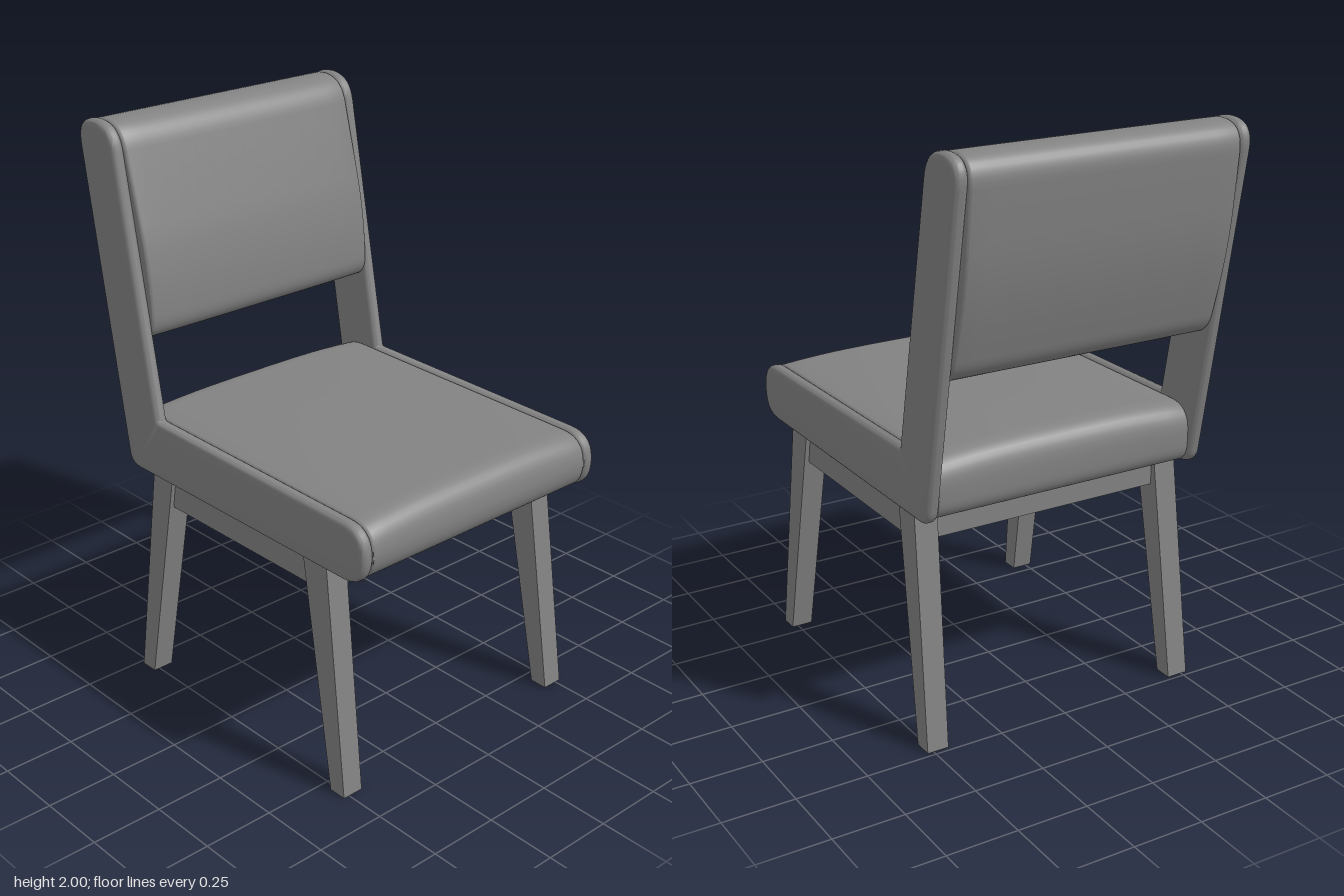
import * as THREE from 'three';
import { toCreasedNormals } from 'three/addons/utils/BufferGeometryUtils.js';

const material = new THREE.MeshStandardMaterial({ color: 0x828282 });

// Closed side profile from corners [z, y, cornerLength], each corner rounded
function roundedProfile(corners) {
  const shape = new THREE.Shape();
  const pts = corners.map(([z, y]) => new THREE.Vector2(z, y));
  corners.forEach(([, , r], i) => {
    const p = pts[i];
    const toward = (q) => q.clone().sub(p).setLength(r).add(p);
    const a = toward(pts[(i + pts.length - 1) % pts.length]);
    const b = toward(pts[(i + 1) % pts.length]);
    if (i === 0) shape.moveTo(a.x, a.y);
    else shape.lineTo(a.x, a.y);
    shape.quadraticCurveTo(p.x, p.y, b.x, b.y);
  });
  shape.closePath();
  return shape;
}

// Extrude a side profile across x, centred, with softened edges; bend moves vertices
function slab(corners, width, bevel, steps = 1, bend = null) {
  const geo = new THREE.ExtrudeGeometry(roundedProfile(corners), {
    depth: width - 2 * bevel, steps, curveSegments: 10,
    bevelThickness: bevel, bevelSize: bevel, bevelOffset: -bevel, bevelSegments: 4,
  });
  geo.translate(0, 0, bevel - width / 2).rotateY(-Math.PI / 2);
  if (bend) {
    const pos = geo.attributes.position;
    const v = new THREE.Vector3();
    for (let i = 0; i < pos.count; i++) {
      bend(v.fromBufferAttribute(pos, i));
      pos.setXYZ(i, v.x, v.y, v.z);
    }
  }
  return toCreasedNormals(geo, 0.65);
}

// Leg between a top and a bottom rectangle [x0, x1, z0, z1]
function taperedLeg(top, bottom, height) {
  const geo = new THREE.BoxGeometry(1, 1, 1).toNonIndexed();
  const pos = geo.attributes.position;
  for (let i = 0; i < pos.count; i++) {
    const up = pos.getY(i) > 0;
    const r = up ? top : bottom;
    pos.setXYZ(i, pos.getX(i) > 0 ? r[1] : r[0], up ? height : 0, pos.getZ(i) > 0 ? r[3] : r[2]);
  }
  geo.computeVertexNormals();
  return geo;
}

export function createModel() {
  const chair = new THREE.Group();
  chair.name = 'chair';
  const add = (name, geometry, x = 0, y = 0, z = 0) => {
    const mesh = new THREE.Mesh(geometry, material);
    mesh.name = name;
    mesh.position.set(x, y, z);
    chair.add(mesh);
  };

  // L-shaped padded side panels: seat edge and back post in one
  const panel = slab([
    [0.692, 0.805, 0.1], [0.692, 1.005, 0.1], [-0.328, 1.018, 0.004],
    [-0.515, 2, 0.09], [-0.708, 2, 0.1], [-0.497, 0.805, 0.05],
  ], 0.046, 0.018);
  add('leftSidePanel', panel, 0.502);
  add('rightSidePanel', panel, -0.502);

  // Seat cushion with a broad, gently crowned top that falls off at the front
  add('seatCushion', slab([
    [0.69, 0.808, 0.1], [0.69, 1.001, 0.1], [-0.5, 1.015, 0.1], [-0.495, 0.808, 0.07],
  ], 0.964, 0.012, 14, (v) => {
    const k = Math.abs(v.x / 0.482);
    v.y += 0.017 * (1 - k ** 3) * THREE.MathUtils.smoothstep(v.y, 0.88, 1.0);
  }));

  // Back cushion, swelling slightly forward between the posts
  add('backCushion', slab([
    [-0.375, 1.28, 0.085], [-0.385, 1.53, 0.14], [-0.512, 1.998, 0.09],
    [-0.705, 1.998, 0.1], [-0.665, 1.6, 0.14], [-0.575, 1.28, 0.085],
  ], 0.964, 0.012, 14, (v) => {
    const axis = -0.434 - 0.18 * (v.y - 1.02);
    const k = v.x / 0.482;
    if (v.z > axis) v.z = axis + (v.z - axis) * (1 - 0.06 * k ** 4);
  }));

  // Splayed, tapered legs and side rails
  for (const [side, s] of [['left', 1], ['right', -1]]) {
    const span = (a, b, z0, z1) => [Math.min(s * a, s * b), Math.max(s * a, s * b), z0, z1];
    add(side + 'FrontLeg', taperedLeg(
      span(0.422, 0.505, 0.392, 0.502), span(0.445, 0.522, 0.54, 0.605), 0.812));
    add(side + 'BackLeg', taperedLeg(
      span(0.422, 0.505, -0.385, -0.283), span(0.445, 0.522, -0.484, -0.418), 0.812));
    add(side + 'SideRail', new THREE.BoxGeometry(0.05, 0.112, 0.74), s * 0.465, 0.756, 0.055);
  }

  // Rails under the seat
  const rail = new THREE.BoxGeometry(0.88, 0.112, 0.05);
  add('frontRail', rail, 0, 0.756, 0.455);
  add('backRail', rail, 0, 0.756, -0.345);

  return chair;
}
